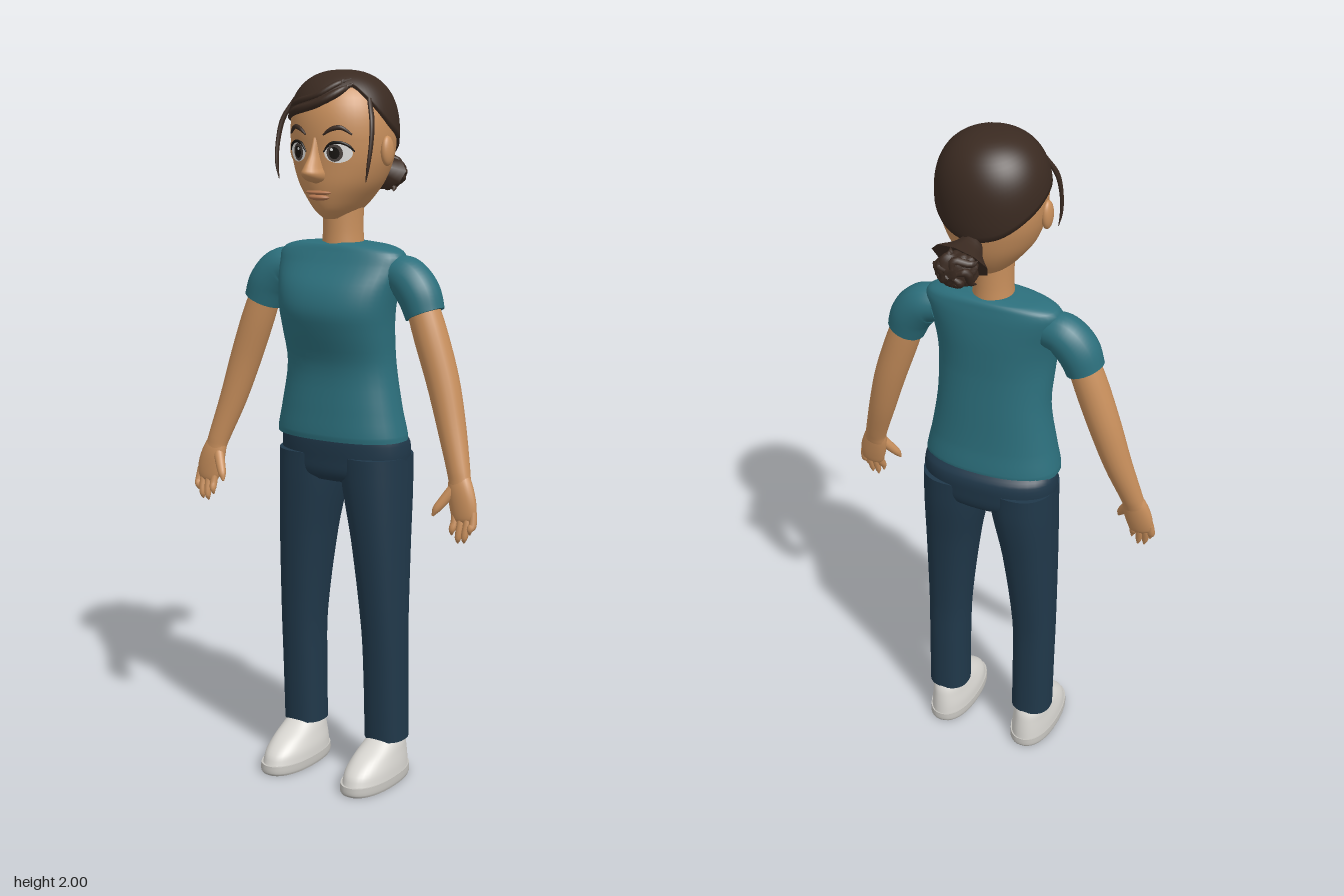
import * as THREE from 'three';

const V = (x, y, z) => new THREE.Vector3(x, y, z);
const paint = (name, color) => Object.assign(new THREE.MeshStandardMaterial({ color }), { name });

// Skin over a stack of closed rings; capped ends keep a sharp rim
function skin(rings, capStart = true, capEnd = true) {
  const all = rings.slice();
  const cap = (r) => {
    const c = r.reduce((s, p) => s.add(p), V(0, 0, 0)).divideScalar(r.length);
    return r.map(() => c.clone());
  };
  if (capStart) all.unshift(cap(rings[0]), rings[0]);
  if (capEnd) all.push(rings.at(-1), cap(rings.at(-1)));
  const n = rings[0].length, index = [];
  for (let j = 0; j < all.length - 1; j++) {
    for (let i = 0; i < n; i++) {
      const a = j * n + i, b = j * n + (i + 1) % n;
      index.push(a, b, a + n, b, b + n, a + n);
    }
  }
  const g = new THREE.BufferGeometry().setFromPoints(all.flat());
  g.setIndex(index);
  g.computeVertexNormals();
  return g;
}

// Smooth interpolation between rows sorted by their first column
function between(rows, y) {
  let i = 0;
  while (i < rows.length - 2 && y > rows[i + 1][0]) i++;
  const a = rows[i], b = rows[i + 1], p = rows[i - 1] ?? a, q = rows[i + 2] ?? b;
  const h = b[0] - a[0], t = (y - a[0]) / h, t2 = t * t, t3 = t2 * t;
  return a.map((v, k) => {
    const m0 = (b[k] - p[k]) / (b[0] - p[0]) * h, m1 = (q[k] - a[k]) / (q[0] - a[0]) * h;
    return v * (2 * t3 - 3 * t2 + 1) + m0 * (t3 - 2 * t2 + t) + b[k] * (3 * t2 - 2 * t3) + m1 * (t3 - t2);
  });
}

// Horizontal oval ring: half width, front z, back z, centre x, squareness
function ring([y, w, zf, zb, cx = 0], n = 2, seg = 40) {
  const pw = (v) => Math.sign(v) * Math.abs(v) ** (2 / n);
  return Array.from({ length: seg }, (_, i) => {
    const a = i / seg * Math.PI * 2;
    return V(cx + w * pw(Math.sin(a)), y, (zf + zb) / 2 + (zf - zb) / 2 * pw(Math.cos(a)));
  });
}

// Upright body built from rows [y, halfWidth, zFront, zBack, centreX]
function upright(rows, n = 2, seg = 40, steps = 4) {
  const rings = [ring(rows[0], n, seg)];
  for (let i = 1; i < rows.length; i++) {
    for (let s = 1; s <= steps; s++) {
      const y = rows[i - 1][0] + (rows[i][0] - rows[i - 1][0]) * s / steps;
      rings.push(ring(between(rows, y), n, seg));
    }
  }
  return skin(rings);
}

// Tapered limb through points [x, y, z, radiusU, radiusV]; U follows z (or y)
function limb(pts, seg = 20, steps = 20) {
  const curve = new THREE.CatmullRomCurve3(pts.map((p) => V(p[0], p[1], p[2])));
  const radii = pts.map((p, i) => [i, p[3], p[4] ?? p[3]]);
  const rings = [];
  for (let s = 0; s <= steps; s++) {
    const t = s / steps, c = curve.getPoint(t), T = curve.getTangent(t);
    const up = Math.abs(T.z) > 0.8 ? V(0, 1, 0) : V(0, 0, 1);
    const U = up.addScaledVector(T, -up.dot(T)).normalize(), W = T.clone().cross(U);
    const [, ru, rv] = between(radii, t * (pts.length - 1));
    rings.push(Array.from({ length: seg }, (_, i) => {
      const a = i / seg * Math.PI * 2;
      return c.clone().addScaledVector(U, ru * Math.cos(a)).addScaledVector(W, rv * Math.sin(a));
    }));
  }
  return skin(rings);
}

// Head surface: table for the face, rounded dome for the skull
const FACE = [[1.605, .02, .12, .0], [1.625, .05, .143, -.035], [1.66, .082, .159, -.065], [1.7, .112, .168, -.085],
  [1.75, .134, .171, -.099], [1.79, .143, .173, -.106], [1.83, .146, .175, -.108]];
function headRow(y) {
  if (y <= 1.83) return between(FACE, y);
  const s = Math.max(0, 1 - ((y - 1.83) / .161) ** 2.4) ** (1 / 2.4);
  return [y, .146 * s, .0335 + .1415 * s, .0335 - .1415 * s];
}
function onHead(deg, y, k = 1) {
  const [, w, zf, zb] = headRow(y), a = deg * Math.PI / 180, zc = (zf + zb) / 2;
  const p = V(w * Math.sin(a), y, zc + (zf - zb) / 2 * Math.cos(a)), c = V(0, 1.83, .0335);
  return p.sub(c).multiplyScalar(k).add(c);
}
function onFace(x, y, lift) {
  const [, w, zf, zb] = headRow(y);
  return V(x, y, (zf + zb) / 2 + (zf - zb) / 2 * Math.sqrt(Math.max(0, 1 - (x / w) ** 2)) + lift);
}
// Oval decal following the face
function decal(cx, cy, rx, ry, lift) {
  const g = new THREE.RingGeometry(0.001, 1, 28, 4), p = g.attributes.position;
  for (let i = 0; i < p.count; i++) {
    const v = onFace(cx + p.getX(i) * rx, cy + p.getY(i) * ry, lift);
    p.setXYZ(i, v.x, v.y, v.z);
  }
  g.computeVertexNormals();
  return g;
}

export function createModel() {
  const root = new THREE.Group();
  const skinTone = paint('skin', 0xc88f5c), shirtMat = paint('teal shirt', 0x2c6f7c), denim = paint('navy trousers', 0x20384a);
  const hairMat = paint('brown hair', 0x3a2a21), shoeMat = paint('shoe white', 0xd9d7d2), soleMat = paint('sole grey', 0xc4c2bd);
  const eyeWhite = paint('eye white', 0xe6e6e4), irisMat = paint('iris', 0x4a423e), dark = paint('pupil and lash', 0x17130f);
  const lipMat = paint('lips', 0xb37650);

  const add = (name, geo, mat) => {
    const m = new THREE.Mesh(geo, mat);
    m.name = name;
    root.add(m);
    return m;
  };
  const pair = (name, geo, mat) => {
    add('left ' + name, geo, mat);
    const g = geo.clone().scale(-1, 1, 1), ix = g.index.array;
    for (let i = 0; i < ix.length; i += 3) [ix[i], ix[i + 1]] = [ix[i + 1], ix[i]];
    add('right ' + name, g, mat);
  };
  const ball = (x, y, z, rx, ry, rz) => new THREE.SphereGeometry(1, 24, 16).scale(rx, ry, rz).translate(x, y, z);

  // Torso and sleeves
  add('shirt', upright([[.998, .2, .15, -.07], [1.015, .199, .152, -.071], [1.08, .185, .147, -.062], [1.2, .165, .142, -.055],
    [1.3, .166, .172, -.05], [1.36, .171, .185, -.05], [1.42, .181, .17, -.05], [1.48, .195, .13, -.046],
    [1.515, .19, .11, -.04], [1.533, .145, .1, -.034], [1.54, .07, .09, -.02]], 2.3), shirtMat);
  pair('sleeve', limb([[.16, 1.46, .035, .05], [.205, 1.452, .036, .058], [.245, 1.412, .04, .06], [.268, 1.358, .043, .055]]), shirtMat);

  // Arms and hands
  pair('arm', limb([[.255, 1.39, .042, .044], [.288, 1.3, .045, .047], [.33, 1.18, .05, .045],
    [.367, 1.06, .064, .039], [.405, .94, .088, .028, .032], [.412, .91, .094, .024, .034]], 20, 28), skinTone);
  pair('palm', limb([[.404, .945, .088, .022, .028], [.414, .905, .096, .024, .038], [.426, .86, .102, .021, .04],
    [.432, .825, .106, .015, .033], [.434, .813, .107, .004, .012]]), skinTone);
  [.404, .423, .442, .459].forEach((x, i) => {
    const tip = [.782, .762, .765, .79][i];
    pair('finger ' + (i + 1), limb([[x, .85, .104, .01], [x + .002, .815, .112, .011], [x - .001, tip + .015, .12, .009],
      [x - .003, tip, .118, .002]], 10, 12), skinTone);
  });
  pair('thumb', limb([[.395, .905, .1, .016], [.374, .872, .118, .014], [.36, .85, .13, .011], [.352, .832, .136, .003]], 12, 12), skinTone);

  // Trousers
  add('trouser hips', upright([[.875, .12, .105, -.06], [.895, .185, .126, -.08], [.94, .198, .131, -.087],
    [.985, .198, .133, -.086], [1.012, .19, .13, -.065]], 2.3), denim);
  pair('trouser leg', upright([[.12, .061, .084, -.036, .14], [.3, .061, .092, -.035, .14], [.45, .063, .101, -.036, .138],
    [.7, .077, .119, -.06, .123], [.85, .091, .128, -.08, .108], [.95, .098, .13, -.085, .1]], 2.3), denim);

  // Shoes
  pair('shoe sole', upright([[0, .065, .22, -.058, .138], [.008, .067, .225, -.062, .138], [.028, .066, .223, -.061, .138]], 2.3), soleMat);
  pair('shoe upper', upright([[.026, .064, .218, -.058, .138], [.055, .062, .204, -.055, .138], [.085, .056, .165, -.05, .139],
    [.11, .05, .115, -.043, .14], [.132, .042, .075, -.03, .14]], 2.2), shoeMat);

  // Neck and head
  add('neck', upright([[1.5, .06, .097, -.026], [1.57, .055, .094, -.022], [1.67, .057, .096, -.024]]), skinTone);
  const rings = [];
  for (let i = 0; i <= 20; i++) rings.push(ring(headRow(1.605 + .225 * i / 20), 2, 48));
  for (let i = 1; i <= 12; i++) rings.push(ring(headRow(1.83 + .16 * Math.sin(i / 12 * Math.PI / 2)), 2, 48));
  add('head', skin(rings), skinTone);
  add('nose', upright([[1.703, .008, .168, .13], [1.713, .024, .202, .13], [1.73, .029, .222, .13], [1.745, .023, .217, .13],
    [1.78, .014, .193, .13], [1.825, .01, .176, .13]], 2, 20), skinTone);
  pair('ear', ball(.147, 1.788, .045, .015, .04, .024), skinTone);

  // Face details
  add('upper lip', ball(0, 1.679, .155, .04, .007, .018), lipMat);
  add('lower lip', ball(0, 1.666, .152, .033, .009, .02), lipMat);
  const line = (pts, r) => limb(pts.map(([x, y], i) => [...onFace(x, y, .003).toArray(), i % (pts.length - 1) ? r : r * .4]), 8, 16);
  pair('eye white', decal(.064, 1.785, .034, .026, .003), eyeWhite);
  pair('iris', decal(.058, 1.785, .02, .023, .005), irisMat);
  pair('pupil', decal(.058, 1.785, .013, .016, .007), dark);
  pair('eye glint', decal(.053, 1.794, .004, .004, .009), eyeWhite);
  pair('upper lash', line([[.028, 1.787], [.045, 1.808], [.068, 1.813], [.09, 1.804], [.102, 1.788]], .004), dark);
  pair('eyebrow', line([[.028, 1.832], [.05, 1.847], [.073, 1.851], [.098, 1.833]], .006), hairMat);

  // Hair cap with a side parting; rows are [angle, hairline height]
  const half = [[60, 1.925], [75, 1.885], [90, 1.85], [120, 1.81], [150, 1.768], [180, 1.75]];
  const hairline = [[-180, 1.75], [-150, 1.768], [-120, 1.81], [-90, 1.85], [-60, 1.868], [-30, 1.883], [0, 1.9],
    [25, 1.93], [44, 1.955], ...half];
  const capRings = [];
  for (let j = 0; j <= 20; j++) {
    capRings.push(Array.from({ length: 72 }, (_, i) => {
      const deg = -180 + i * 5, start = between(hairline, deg)[1];
      const a0 = Math.asin((start - 1.83) / .161), u = Math.max(0, j - 1) / 19;
      return onHead(deg, 1.83 + .161 * Math.sin(a0 + (Math.PI / 2 - a0) * u), j ? 1.055 : .985);
    }));
  }
  add('hair cap', skin(capRings, false, false), hairMat);
  // Swept fringe locks
  [[0, .011], [.022, .009]].forEach(([lift, r], i) => add('fringe lock ' + (i + 1), limb(
    [[46, 1.958], [24, 1.935], [0, 1.908], [-30, 1.89], [-58, 1.873]].map(([d, y], k) =>
      [...onHead(d, Math.min(y + lift, 1.97), 1.045).toArray(), k % 4 ? r : r * .3]), 10, 24), hairMat));
  // Loose strands beside the face
  pair('loose strand', limb([[.118, 1.925, .09, .006], [.143, 1.87, .115, .009, .006], [.15, 1.81, .13, .008, .005],
    [.147, 1.75, .14, .006, .004], [.14, 1.71, .14, .001]], 10, 20), hairMat);

  // Gathered tail and tousled bun
  add('hair tie fan', limb([[0, 1.745, -.095, .025, .03], [.004, 1.73, -.12, .035, .05], [.01, 1.715, -.148, .052, .09]], 9, 6), hairMat);
  const bun = new THREE.SphereGeometry(1, 32, 24), bp = bun.attributes.position;
  for (let i = 0; i < bp.count; i++) {
    const v = V().fromBufferAttribute(bp, i);
    v.multiplyScalar(.93 + .1 * Math.sin(7 * v.x + 5 * v.y) * Math.cos(6 * v.y - 4 * v.z));
    bp.setXYZ(i, v.x, v.y, v.z);
  }
  bun.scale(.06, .05, .034).rotateY(.25).translate(0, 1.714, -.192);
  bun.computeVertexNormals();
  add('bun', bun, hairMat);
  for (let i = 0; i < 5; i++) {
    const a = i * 1.257 + .4, c = Math.cos(a), s = Math.sin(a), c2 = Math.cos(a + .9), s2 = Math.sin(a + .9);
    add('bun tuft ' + (i + 1), limb([[.015 * c, 1.714 + .012 * s, -.222, .007], [.04 * c, 1.714 + .032 * s, -.212, .012],
      [.054 * c2, 1.714 + .045 * s2, -.196, .009], [.068 * c2, 1.714 + .056 * s2, -.185, .001]], 8, 12), hairMat);
  }
  return root;
}
